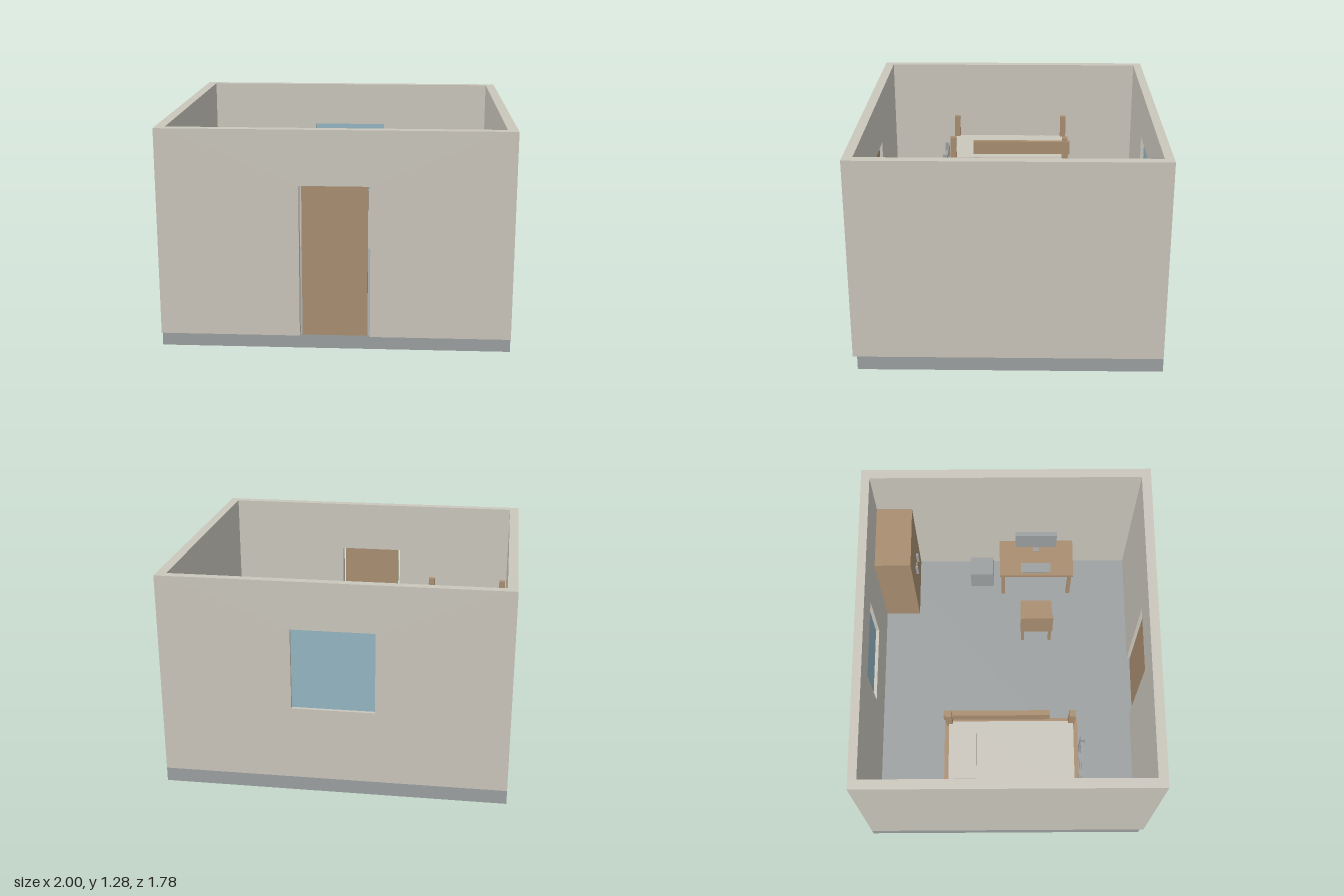
import * as THREE from 'three';

const mat = (name, color) => new THREE.MeshStandardMaterial({ name, color });

export function createModel() {
  const plaster = mat('plaster', 0xcac6bc);
  const grey = mat('grey', 0x9ca0a1);
  const wood = mat('wood', 0xa98e70);
  const glass = mat('glass', 0x94b6c3);

  const room = new THREE.Group();
  room.name = 'room';
  const group = (name) => {
    const g = new THREE.Group();
    g.name = name;
    room.add(g);
    return g;
  };
  // Box given by its minimum and maximum corners
  const box = (parent, name, material, [x0, y0, z0], [x1, y1, z1]) => {
    const mesh = new THREE.Mesh(new THREE.BoxGeometry(x1 - x0, y1 - y0, z1 - z0), material);
    mesh.position.set((x0 + x1) / 2, (y0 + y1) / 2, (z0 + z1) / 2);
    mesh.name = name;
    parent.add(mesh);
    return mesh;
  };
  // Upright wall cut from an outline in the xy plane
  const wall = (name, shape, z0, z1) => {
    const mesh = new THREE.Mesh(
      new THREE.ExtrudeGeometry(shape, { depth: z1 - z0, bevelEnabled: false }), plaster);
    mesh.position.z = z0;
    mesh.name = name;
    room.add(mesh);
  };
  const polygon = (points) => new THREE.Shape(points.map(([x, y]) => new THREE.Vector2(x, y)));

  const F = 0.083; // floor level
  const H = 1.28; // wall top

  // Shell
  box(room, 'floor', grey, [-1, 0, -0.89], [1, F, 0.865]);
  for (const s of [-1, 1]) {
    box(room, s > 0 ? 'leftWall' : 'rightWall', plaster,
      [Math.min(s, s * 0.943), F, -0.89], [Math.max(s, s * 0.943), H, 0.89]);
  }
  wall('frontWall', polygon([[-0.943, F], [-0.2, F], [-0.2, 0.965], [0.2, 0.965], [0.2, F],
    [0.943, F], [0.943, H], [-0.943, H]]), 0.833, 0.89);
  const back = polygon([[-0.943, F], [0.943, F], [0.943, H], [-0.943, H]]);
  back.holes.push(polygon([[-0.24, 0.52], [-0.24, 1], [0.24, 1], [0.24, 0.52]]));
  wall('backWall', back, -0.89, -0.838);
  box(room, 'door', wood, [-0.186, F, 0.85], [0.186, 0.963, 0.872]);
  box(room, 'windowPane', glass, [-0.24, 0.52, -0.869], [0.24, 1, -0.859]);

  // Bunk bed
  const bed = group('bunkBed');
  for (const x of [-0.915, -0.456]) {
    for (const z of [-0.354, 0.391]) {
      box(bed, 'bedPost', wood, [x - 0.019, F, z - 0.019], [x + 0.019, 0.915, z + 0.019]);
    }
  }
  for (const y of [0.2, 0.62]) {
    const top = y + 0.107;
    for (const x of [-0.943, -0.45]) {
      box(bed, 'sideRail', wood, [x, y, -0.385], [x + 0.021, top, 0.43]);
    }
    for (const z of [-0.385, 0.402]) {
      box(bed, 'endRail', wood, [-0.922, y, z], [-0.45, top, z + 0.028]);
    }
    box(bed, 'mattress', plaster, [-0.922, y + 0.04, -0.357], [-0.46, y + 0.15, 0.402]);
    box(bed, 'pillow', plaster, [-0.825, y + 0.15, -0.326], [-0.545, y + 0.184, -0.19]);
  }
  box(bed, 'guardRail', wood, [-0.46, 0.806, -0.386], [-0.429, 0.893, 0.256]);

  // Ladder at the foot of the bed
  const ladder = group('ladder');
  for (const x of [-0.82, -0.577]) {
    box(ladder, 'ladderRail', grey, [x, F, 0.445], [x + 0.022, 0.75, 0.474]);
  }
  for (let i = 0; i < 5; i++) {
    const y = 0.18 + i * 0.125;
    box(ladder, 'rung', grey, [-0.798, y, 0.45], [-0.577, y + 0.02, 0.469]);
  }

  // Wardrobe with two handles and a lock
  const wardrobe = group('wardrobe');
  box(wardrobe, 'wardrobeBody', wood, [0.54, F, -0.838], [0.943, 0.88, -0.61]);
  for (const x of [0.695, 0.785]) {
    box(wardrobe, 'handle', grey, [x - 0.007, 0.43, -0.61], [x + 0.007, 0.53, -0.593]);
  }
  box(wardrobe, 'lock', grey, [0.735, 0.47, -0.61], [0.745, 0.49, -0.602]);

  // Desk
  const desk = group('desk');
  box(desk, 'deskTop', wood, [0.68, 0.385, -0.045], [0.943, 0.41, 0.455]);
  for (const x of [0.69, 0.908]) {
    for (const z of [-0.035, 0.42]) {
      box(desk, 'deskLeg', wood, [x, F, z], [x + 0.025, 0.385, z + 0.025]);
    }
  }

  // Computer
  const computer = group('computer');
  box(computer, 'keyboard', grey, [0.7, 0.41, 0.1], [0.77, 0.42, 0.302]);
  box(computer, 'monitorFoot', grey, [0.86, 0.41, 0.183], [0.925, 0.42, 0.222]);
  box(computer, 'monitorStem', grey, [0.885, 0.42, 0.19], [0.898, 0.46, 0.215]);
  box(computer, 'monitor', grey, [0.876, 0.45, 0.062], [0.906, 0.615, 0.34]);
  box(computer, 'tower', grey, [0.75, F, -0.248], [0.88, 0.28, -0.088]);

  // Chair facing the desk
  const chair = group('chair');
  box(chair, 'seat', wood, [0.33, 0.26, 0.095], [0.547, 0.285, 0.31]);
  box(chair, 'backrest', wood, [0.33, 0.285, 0.095], [0.357, 0.49, 0.31]);
  for (const x of [0.335, 0.522]) {
    for (const z of [0.1, 0.285]) {
      box(chair, 'chairLeg', wood, [x, F, z], [x + 0.02, 0.26, z + 0.02]);
    }
  }
  return room;
}
